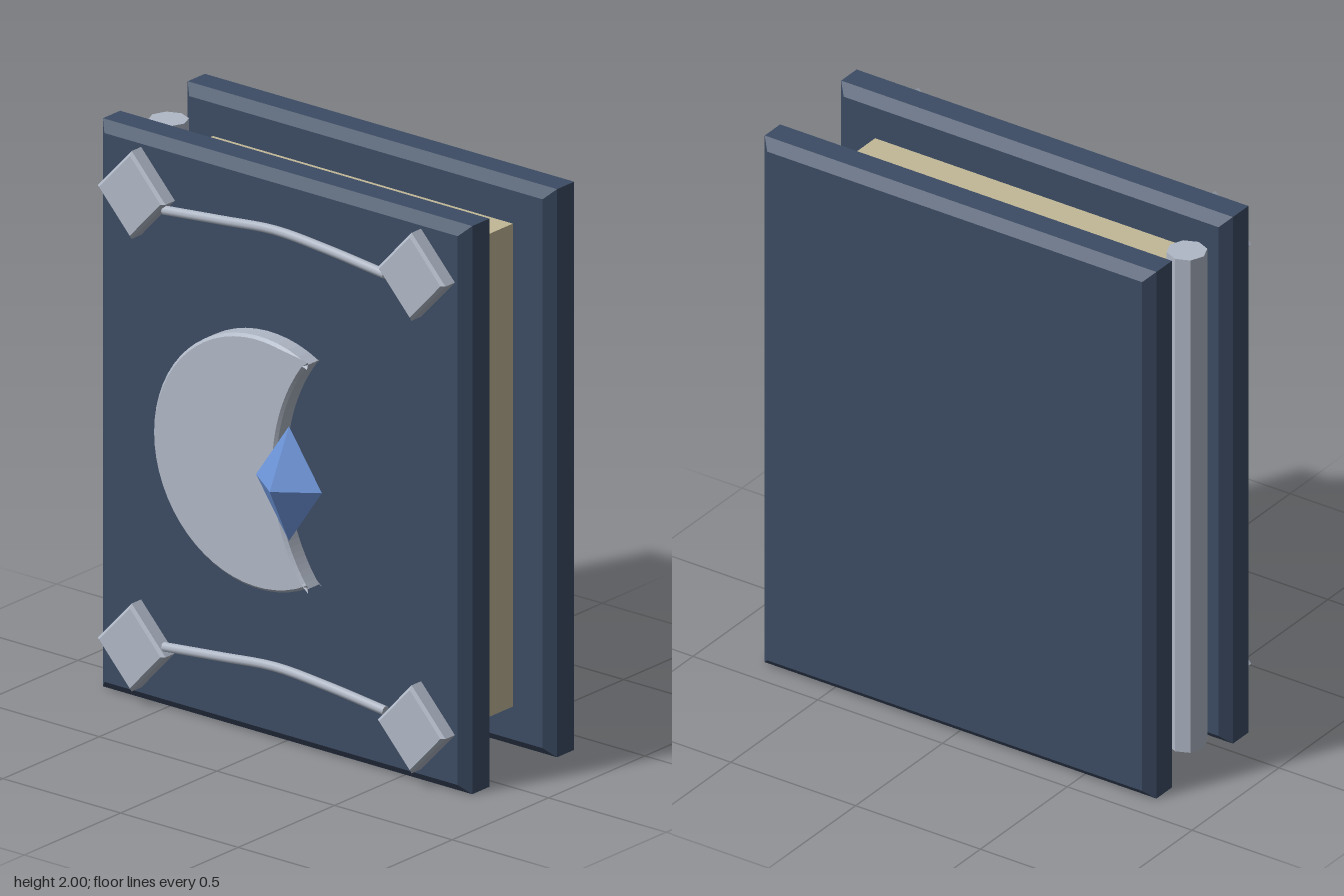
import * as THREE from 'three';

const material = (color) => new THREE.MeshStandardMaterial({ color, flatShading: true });

// Plate cut from a shape with a one-step chamfer, spanning z0..z1
function plate(name, shape, z0, z1, bevel, mat) {
  const geo = new THREE.ExtrudeGeometry(shape, {
    depth: z1 - z0 - 2 * bevel, steps: 1, curveSegments: 20,
    bevelEnabled: true, bevelThickness: bevel, bevelSize: bevel, bevelOffset: -bevel, bevelSegments: 1,
  });
  geo.translate(0, 0, z0 + bevel);
  const mesh = new THREE.Mesh(geo, mat);
  mesh.name = name;
  return mesh;
}

const polygon = (points) => new THREE.Shape(points.map(([x, y]) => new THREE.Vector2(x, y)));

export function createModel() {
  const group = new THREE.Group();
  const leather = material(0x3c4c64);
  const paper = material(0xc2b898);
  const silver = material(0xb0b8c6);
  const blue = material(0x6c94d8);
  const add = (name, geo, mat, x, y, z) => {
    const mesh = new THREE.Mesh(geo, mat);
    mesh.name = name;
    mesh.position.set(x, y, z);
    group.add(mesh);
    return mesh;
  };

  // Covers
  const cover = polygon([[-0.785, 0], [0.785, 0], [0.785, 2], [-0.785, 2]]);
  group.add(plate('frontCover', cover, 0.01, 0.167, 0.034, leather));
  group.add(plate('backCover', cover, -0.43, -0.273, 0.034, leather));

  // Page block and spine rod
  add('pages', new THREE.BoxGeometry(1.275, 1.7, 0.3), paper, -0.0125, 1, -0.1315);
  add('spine', new THREE.CylinderGeometry(0.068, 0.068, 1.87, 8), silver, -0.722, 1, -0.13);

  // Diamond corner studs
  const diamond = polygon([[0, -0.155], [0.144, 0], [0, 0.155], [-0.144, 0]]);
  for (const y of [0.207, 1.8]) {
    for (const x of [-0.595, 0.595]) {
      const stud = plate('cornerStud', diamond, 0.155, 0.226, 0.01, silver);
      stud.position.set(x, y, 0);
      group.add(stud);
    }
  }

  // Curved trim rods between the studs
  const rodMaterial = new THREE.MeshStandardMaterial({ color: 0xb0b8c6 });
  for (const y of [0.235, 1.772]) {
    const curve = new THREE.CatmullRomCurve3(
      [[-0.47, 0], [-0.22, 0.024], [0, 0.043], [0.22, 0.029], [0.47, 0.002]]
        .map(([x, dy]) => new THREE.Vector3(x, y + dy, 0.199)));
    add('trimRod', new THREE.TubeGeometry(curve, 20, 0.017, 8), rodMaterial, 0, 0, 0);
    // Flat end caps
    for (const [t, sign] of [[0, -1], [1, 1]]) {
      const p = curve.getPoint(t);
      const cap = add('trimRodCap', new THREE.CircleGeometry(0.017, 8), silver, p.x, p.y, p.z);
      cap.lookAt(p.clone().addScaledVector(curve.getTangent(t), sign));
    }
  }

  // Crescent emblem: outer arc, then a shallower arc back between the tips
  const tip = Math.atan2(0.395, 0.21);
  const inner = Math.atan2(0.395, 0.51);
  const crescent = new THREE.Shape();
  crescent.absarc(-0.03, 1.004, 0.445, tip, 2 * Math.PI - tip, false);
  crescent.absarc(0.69, 1.004, 0.645, Math.PI + inner, Math.PI - inner, true);
  group.add(plate('crescent', crescent, 0.18, 0.256, 0.01, silver));

  // Floating gem
  const gem = new THREE.OctahedronGeometry(1);
  gem.scale(0.14, 0.202, 0.1);
  add('gem', gem, blue, 0.167, 1.002, 0.33);

  return group;
}
